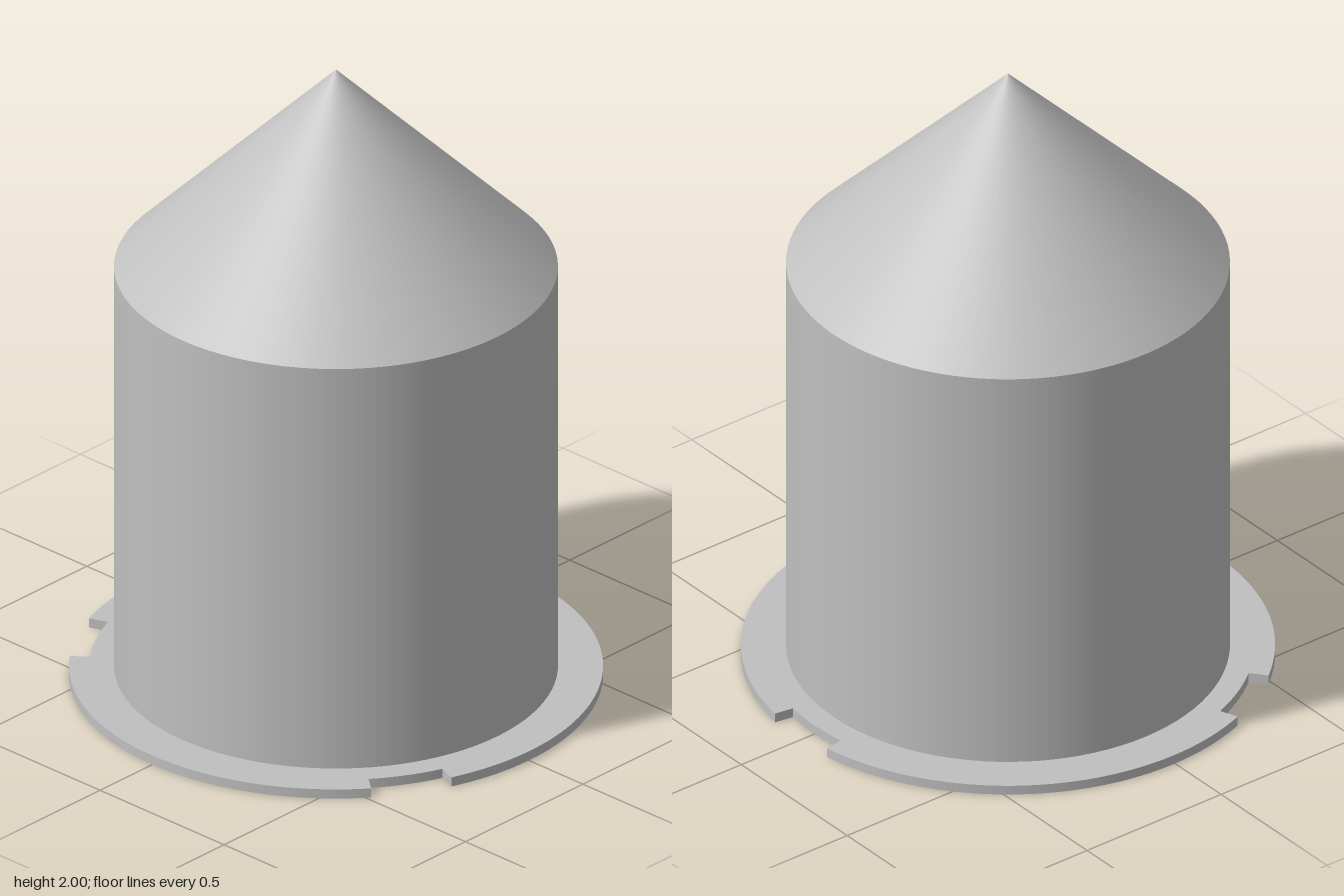
import * as THREE from 'three';
import { toCreasedNormals } from 'three/addons/utils/BufferGeometryUtils.js';

const SEGMENTS = 96;
const OUTER = 0.65, INNER = 0.624;      // shell wall radii
const FLANGE = 0.782, NOTCH = 0.722;    // flange rim and notch floor radii
const THICK = 0.03, SHOULDER = 1.35, TOP = 2;

export function createModel() {
  const model = new THREE.Group();
  model.name = 'pointedCanister';
  const grey = new THREE.MeshStandardMaterial({ color: 0xc0c0c0 });
  grey.name = 'light grey';

  const add = (name, geometry) => {
    const mesh = new THREE.Mesh(geometry, grey);
    mesh.name = name;
    mesh.position.z = -0.005;
    model.add(mesh);
  };

  // One straight revolved surface; rising profiles face out, falling ones face in
  const band = (name, r0, y0, r1, y1) => add(name, new THREE.LatheGeometry(
    [new THREE.Vector2(r0, y0), new THREE.Vector2(r1, y1)], SEGMENTS));

  // Hollow body and conical roof
  const innerTop = TOP - 0.037, innerShoulder = innerTop - INNER;
  band('bodyOuterWall', OUTER, THICK, OUTER, SHOULDER);
  band('roofOuterCone', OUTER, SHOULDER, 0, TOP);
  band('bodyInnerWall', INNER, innerShoulder, INNER, THICK);
  band('roofInnerCone', 0, innerTop, INNER, innerShoulder);

  // Base flange with three rim notches, one at the back and two towards the front
  const shape = new THREE.Shape();
  const half = THREE.MathUtils.degToRad(9);
  for (let i = 0; i < 3; i++) {
    const mid = Math.PI / 2 + i * Math.PI * 2 / 3;
    shape.absarc(0, 0, NOTCH, mid - half, mid + half, false);
    shape.absarc(0, 0, FLANGE, mid + half, mid + Math.PI * 2 / 3 - half, false);
  }
  shape.closePath();
  const hole = new THREE.Path();
  hole.absarc(0, 0, INNER, 0, Math.PI * 2, true);
  shape.holes.push(hole);
  const flange = new THREE.ExtrudeGeometry(shape,
    { depth: THICK, bevelEnabled: false, curveSegments: SEGMENTS / 2 });
  flange.rotateX(-Math.PI / 2);
  add('notchedFlange', toCreasedNormals(flange, 0.5));

  return model;
}
